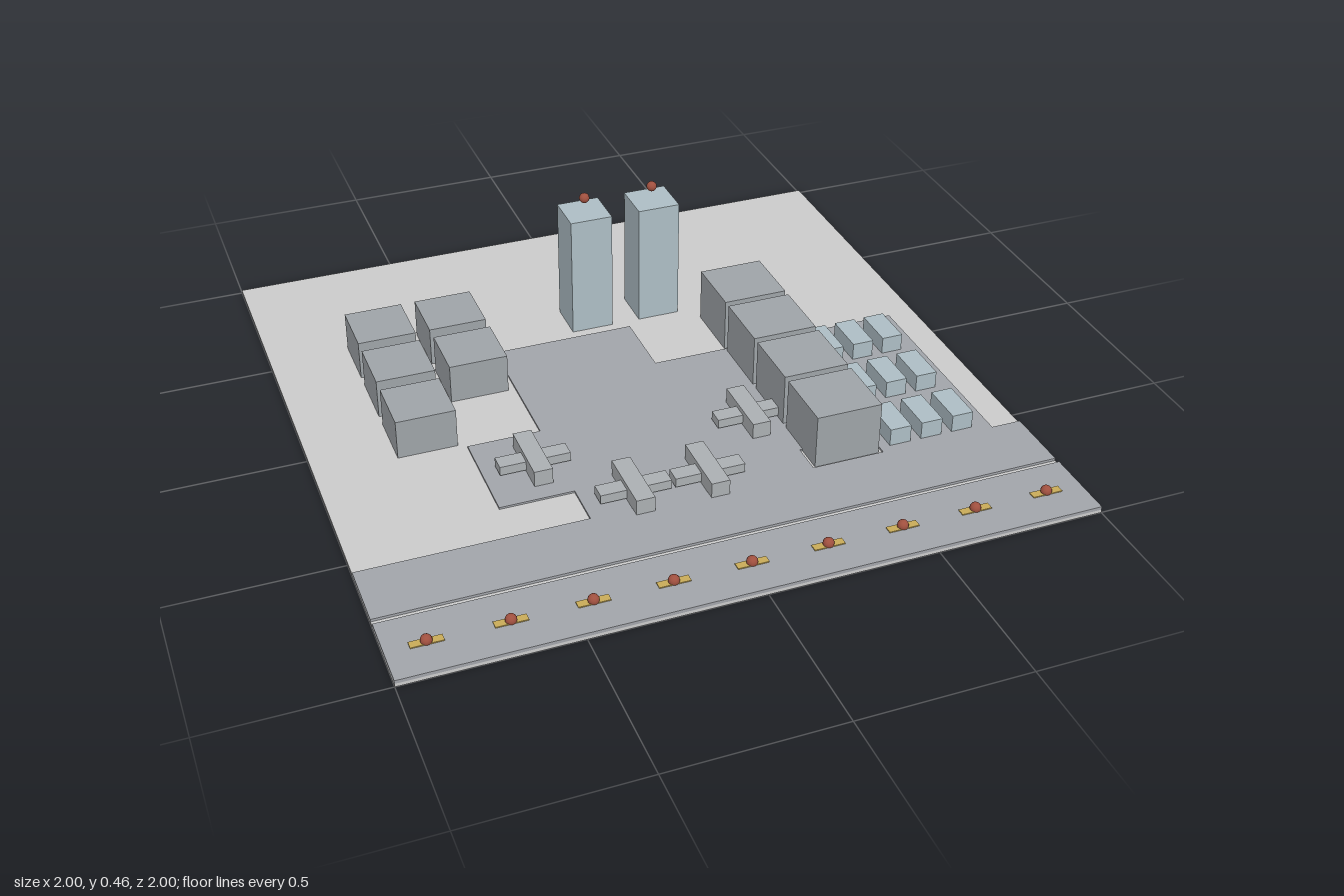
import * as THREE from 'three';

const mat = (color) => new THREE.MeshStandardMaterial({ color });

export function createModel() {
  const root = new THREE.Group();
  root.name = 'airfield';

  const ground = mat(0xc6caca), paving = mat(0xa2a5aa), building = mat(0x9fa4a8);
  const planeGrey = mat(0xacb0b3), glass = mat(0xaebec5), yellow = mat(0xc9ac58), red = mat(0xa0503f);

  // Box given by its centre in plan and its bottom and top heights
  function box(name, x, z, w, d, y0, y1, material, parent = root) {
    const mesh = new THREE.Mesh(new THREE.BoxGeometry(w, y1 - y0, d), material);
    mesh.position.set(x, (y0 + y1) / 2, z);
    mesh.name = name;
    parent.add(mesh);
    return mesh;
  }
  function lamp(name, x, y, z) {
    const mesh = new THREE.Mesh(new THREE.SphereGeometry(0.016, 16, 12), red);
    mesh.position.set(x, y, z);
    mesh.name = name;
    root.add(mesh);
  }

  // Ground, runway and taxiway
  box('ground', 0, 0, 2, 2, 0, 0.01, ground);
  box('runway', 0, 0.8875, 2, 0.225, 0.01, 0.02, paving);
  box('taxiway', 0, 0.655, 2, 0.2, 0.01, 0.018, paving);

  // Stepped apron, with a notch beneath the last terminal block
  const outline = [
    [-0.335, -0.34], [0.11, -0.34], [0.11, -0.112], [0.91, -0.112], [0.91, 0.555],
    [0.555, 0.555], [0.555, 0.46], [0.335, 0.46], [0.335, 0.555],
    [-0.335, 0.555], [-0.335, 0.42], [-0.555, 0.42], [-0.555, 0.11], [-0.335, 0.11],
  ];
  const shape = new THREE.Shape(outline.map(([x, z]) => new THREE.Vector2(x, -z)));
  const apronGeometry = new THREE.ExtrudeGeometry(shape, { depth: 0.006, bevelEnabled: false });
  apronGeometry.rotateX(-Math.PI / 2);
  const apron = new THREE.Mesh(apronGeometry, paving);
  apron.position.y = 0.01;
  apron.name = 'apron';
  root.add(apron);

  // Runway markings, each with a light
  for (let i = -4; i <= 4; i++) {
    const x = i * 0.2222;
    box('runwayMarking', x, 0.889, 0.09, 0.024, 0.02, 0.023, yellow);
    lamp('runwayLight', x, 0.027, 0.889);
  }

  // Control towers with beacons
  for (const x of [0, 0.222]) {
    box('controlTower', x, -0.445, 0.133, 0.133, 0.01, 0.4, glass);
    lamp('towerBeacon', x, 0.444, -0.445);
  }

  // Terminal blocks in a row
  for (let i = -1; i <= 2; i++) {
    box('terminalBlock', 0.444, i * 0.2222, 0.2, 0.2, 0.01, 0.178, building);
  }

  // Hangars: a column of three and a column of two
  for (let i = 0; i < 5; i++) {
    const x = i < 3 ? -0.667 : -0.445;
    box('hangar', x, -0.445 + (i % 3) * 0.2222, 0.178, 0.178, 0.01, 0.133, building);
  }

  // Small service units, three by three
  for (const x of [0.62, 0.72, 0.82]) {
    for (const z of [0.015, 0.24, 0.465]) box('serviceUnit', x, z, 0.066, 0.133, 0.014, 0.07, glass);
  }

  // Parked aircraft: fuselage crossed by a lower wing
  for (const [x, z] of [[-0.406, 0.262], [-0.185, 0.485], [0.037, 0.485], [0.258, 0.262]]) {
    const plane = new THREE.Group();
    plane.name = 'aircraft';
    plane.position.set(x, 0, z);
    box('fuselage', 0, 0, 0.055, 0.2, 0.016, 0.065, planeGrey, plane);
    box('wing', 0, 0, 0.21, 0.05, 0.022, 0.05, planeGrey, plane);
    root.add(plane);
  }
  return root;
}
